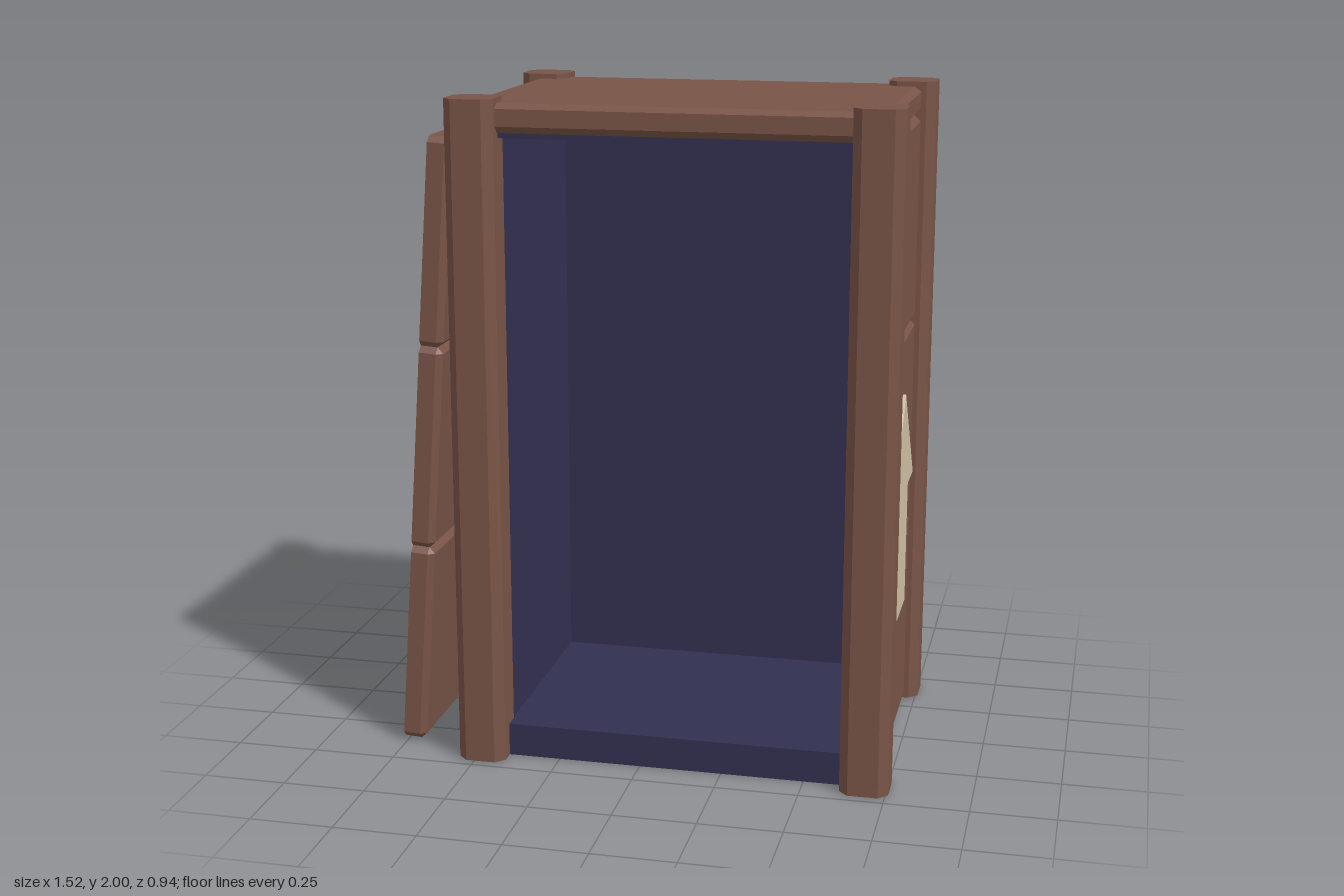
import * as THREE from 'three';
import { ConvexGeometry } from 'three/addons/geometries/ConvexGeometry.js';

const wood = new THREE.MeshStandardMaterial({ color: 0x795447 });
wood.name = 'brown wood';
const lining = new THREE.MeshStandardMaterial({ color: 0x323050 });
lining.name = 'navy lining';
const cream = new THREE.MeshStandardMaterial({ color: 0xd1c1a3 });
cream.name = 'cream paint';

const CX = 0.1025, HX = 0.6125, HZ = 0.425; // cabinet centre and half sizes

function add(parent, name, geometry, material, x = 0, y = 0, z = 0, ry = 0) {
  const mesh = new THREE.Mesh(geometry, material);
  mesh.name = name;
  mesh.position.set(x, y, z);
  mesh.rotation.y = ry;
  parent.add(mesh);
  return mesh;
}

// Board with its back at z = 0, chamfered on every edge but the back ones
function board(w, h, d, b) {
  const points = [];
  for (const sx of [-1, 1]) for (const sy of [-1, 1]) {
    const x = sx * w / 2, y = sy * h / 2, xi = x - sx * b, yi = y - sy * b;
    for (const z of [0, d - b]) {
      points.push(new THREE.Vector3(x, yi, z), new THREE.Vector3(xi, y, z));
    }
    points.push(new THREE.Vector3(xi, yi, d));
  }
  return new ConvexGeometry(points);
}

// Lid with chamfered top and bottom edges
function lidGeometry() {
  const points = [];
  for (const [y, inset] of [[1.9, 0.02], [1.92, 0], [1.97, 0], [1.985, 0.02]]) {
    for (const sx of [-1, 1]) for (const sz of [-1, 1]) {
      points.push(new THREE.Vector3(sx * (HX - inset), y, sz * (HZ - inset)));
    }
  }
  return new ConvexGeometry(points);
}

// Square post with cut corners
function postGeometry() {
  const h = 0.0725, k = 0.045;
  const outline = [[h, -k], [h, k], [k, h], [-k, h], [-h, k], [-h, -k], [-k, -h], [k, -h]];
  const shape = new THREE.Shape(outline.map(([x, y]) => new THREE.Vector2(x, y)));
  const geometry = new THREE.ExtrudeGeometry(shape, { depth: 2, bevelEnabled: false });
  return geometry.rotateX(-Math.PI / 2);
}

function arrowGeometry() {
  const half = [[0.12, 0.41], [0.12, 0.79], [0.257, 0.79]];
  const outline = [...half, [0, 1.1], ...half.map(([x, y]) => [-x, y]).reverse()];
  const shape = new THREE.Shape(outline.map(([x, y]) => new THREE.Vector2(x, y)));
  return new THREE.ExtrudeGeometry(shape, { depth: 0.015, bevelEnabled: false });
}

export function createModel() {
  const model = new THREE.Group();
  model.name = 'cabinet';

  // Corner posts
  const post = postGeometry();
  for (const sx of [-1, 1]) for (const sz of [-1, 1]) {
    add(model, 'cornerPost', post, wood, CX + sx * 0.583, 0, sz * 0.3975);
  }

  add(model, 'lid', lidGeometry(), wood, CX, 0, 0);

  // Three rows of boards on the sides and back
  const rowHeight = 1.9 / 3, thick = 0.03, bevel = 0.02;
  const sideBoard = board(0.8, rowHeight, thick, bevel);
  const backBoard = board(1.18, rowHeight, thick, bevel);
  for (let i = 0; i < 3; i++) {
    const y = (i + 0.5) * rowHeight;
    for (const s of [-1, 1]) {
      add(model, 'sideBoard', sideBoard, wood, CX + s * (HX - thick), y, 0, s * Math.PI / 2);
    }
    add(model, 'backBoard', backBoard, wood, CX, y, -(HZ - thick), Math.PI);
  }

  // Dark inner shell, open at the front
  const front = 0.4, back = -(HZ - thick), outer = HX - thick, inner = HX - 0.1;
  const depth = front - back, midZ = (front + back) / 2;
  for (const s of [-1, 1]) {
    add(model, 'innerSideWall', new THREE.BoxGeometry(outer - inner, 1.9, depth), lining,
      CX + s * (outer + inner) / 2, 0.95, midZ);
  }
  add(model, 'innerBackWall', new THREE.BoxGeometry(2 * inner, 1.9, 0.07), lining, CX, 0.95, back + 0.035);
  add(model, 'innerFloor', new THREE.BoxGeometry(2 * inner, 0.1, depth), lining, CX, 0.05, midZ);
  add(model, 'innerCeiling', new THREE.BoxGeometry(2 * inner, 0.015, depth), lining, CX, 1.8925, midZ);

  // Upward arrows on both sides
  const arrow = arrowGeometry();
  for (const s of [-1, 1]) {
    add(model, 'sideArrow', arrow, cream, CX + s * HX, 0, 0, s * Math.PI / 2);
  }

  // Loose door leaning beside the cabinet
  const door = new THREE.Group();
  door.name = 'leaningDoor';
  const doorBoard = board(0.746, 0.625, 0.07, 0.018);
  for (let i = 0; i < 3; i++) {
    add(door, 'doorBoard', doorBoard, wood, 0, (i + 0.5) * 0.625, 0, Math.PI / 2);
  }
  door.position.set(-0.76, 0.012, -0.002);
  door.rotation.z = -0.07;
  model.add(door);

  return model;
}
